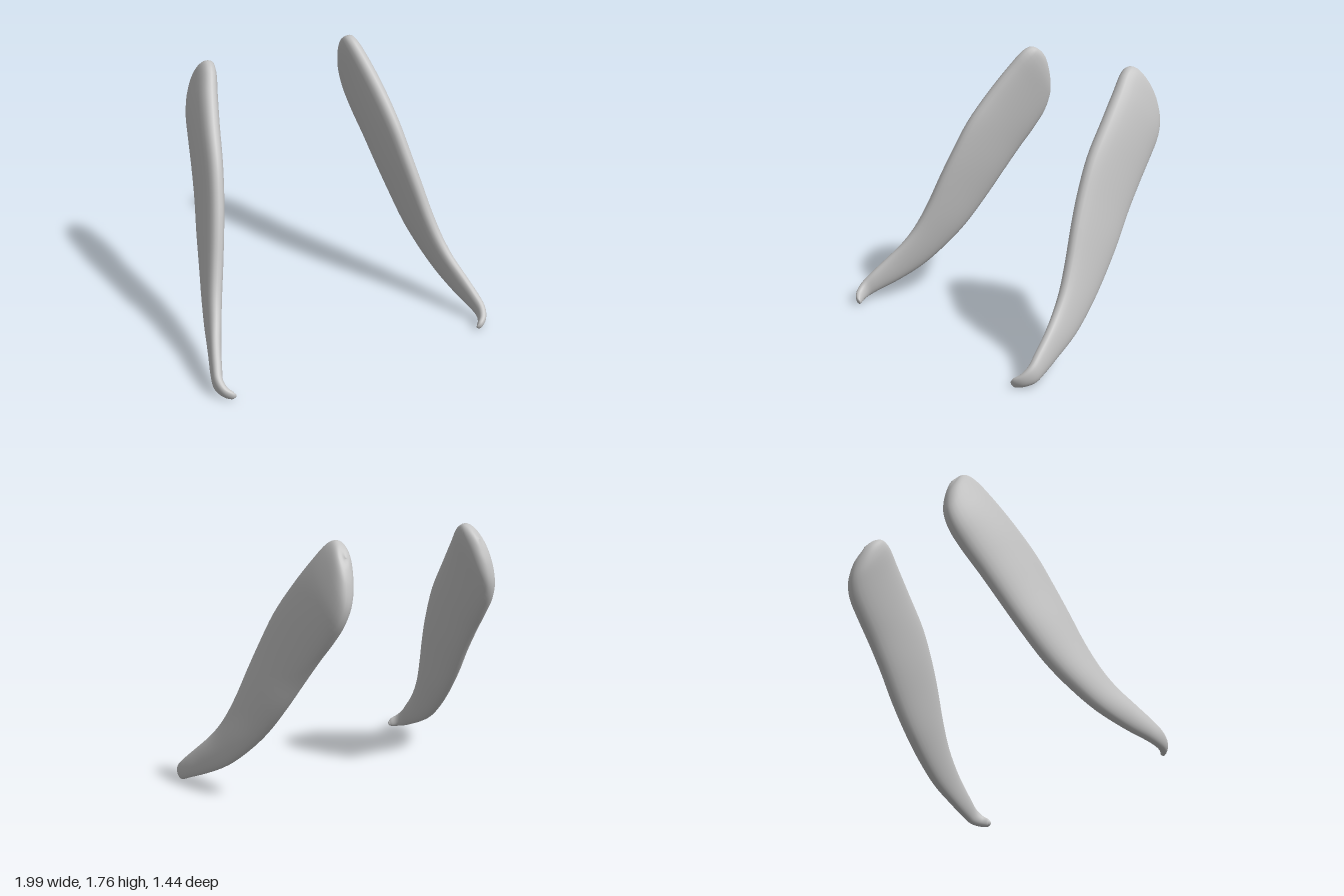
import * as THREE from 'three';

const grey = new THREE.MeshStandardMaterial({ color: 0xc4c4c4 });
grey.name = 'pale grey';

// Cross-sections from root to tip: front edge x,y,z, back edge x,y,z, half thickness
const SECTIONS = [
  [0.53, 1.67, -0.64, 0.53, 1.66, -0.642, 0.004],
  [0.512, 1.735, -0.575, 0.54, 1.60, -0.672, 0.04],
  [0.507, 1.755, -0.52, 0.557, 1.51, -0.705, 0.06],
  [0.518, 1.73, -0.46, 0.573, 1.39, -0.72, 0.073],
  [0.558, 1.62, -0.36, 0.59, 1.28, -0.69, 0.08],
  [0.607, 1.45, -0.22, 0.608, 1.16, -0.61, 0.08],
  [0.65, 1.25, -0.07, 0.637, 1.02, -0.50, 0.076],
  [0.692, 1.04, 0.04, 0.672, 0.85, -0.375, 0.073],
  [0.732, 0.86, 0.12, 0.715, 0.67, -0.25, 0.07],
  [0.78, 0.66, 0.20, 0.76, 0.48, -0.10, 0.065],
  [0.825, 0.50, 0.28, 0.81, 0.33, 0.05, 0.058],
  [0.865, 0.385, 0.365, 0.862, 0.20, 0.215, 0.05],
  [0.91, 0.29, 0.46, 0.912, 0.105, 0.40, 0.042],
  [0.945, 0.20, 0.56, 0.953, 0.05, 0.53, 0.037],
  [0.963, 0.135, 0.63, 0.965, 0.02, 0.60, 0.032],
  [0.945, 0.085, 0.685, 0.94, 0.005, 0.66, 0.026],
  [0.905, 0.055, 0.712, 0.905, 0.0, 0.695, 0.018],
  [0.884, 0.032, 0.71, 0.884, 0.012, 0.706, 0.005],
];

const curve = (pick) => new THREE.CatmullRomCurve3(SECTIONS.map((s) => new THREE.Vector3(...pick(s))));

// Lofts a closed lens-shaped skin; side = 1 for left, -1 for the mirrored right
function bladeGeometry(side) {
  const front = curve((s) => s.slice(0, 3));
  const back = curve((s) => s.slice(3, 6));
  const thick = curve((s) => [s[6], 0, SECTIONS.indexOf(s) * 0.1]);
  const rows = 68, around = 28, pos = [], index = [];
  const mid = (u) => front.getPoint(u).add(back.getPoint(u)).multiplyScalar(0.5);
  const put = (p) => pos.push(p.x * side, p.y, p.z);

  for (let i = 0; i <= rows; i++) {
    const u = i / rows;
    const c = mid(u);
    const half = front.getPoint(u).sub(c);
    const path = mid(Math.min(1, u + 0.02)).sub(mid(Math.max(0, u - 0.02)));
    const normal = half.clone().cross(path).normalize();
    const t = Math.max(thick.getPoint(u).x, 0.002);
    for (let j = 0; j < around; j++) {
      const a = (j / around) * Math.PI * 2;
      const s = Math.sin(a);
      put(c.clone().addScaledVector(half, Math.cos(a))
        .addScaledVector(normal, t * Math.sign(s) * Math.abs(s) ** 0.8));
    }
  }

  const tri = (a, b, c) => (side > 0 ? index.push(a, c, b) : index.push(a, b, c));
  for (let i = 0; i < rows; i++) {
    for (let j = 0; j < around; j++) {
      const k = (j + 1) % around;
      const a = i * around + j, b = i * around + k;
      tri(a, b, a + around);
      tri(b, b + around, a + around);
    }
  }

  // Close both ends with a fan
  const root = pos.length / 3;
  put(mid(0));
  put(mid(1));
  for (let j = 0; j < around; j++) {
    const k = (j + 1) % around;
    tri(root, k, j);
    tri(root + 1, rows * around + j, rows * around + k);
  }

  const g = new THREE.BufferGeometry();
  g.setAttribute('position', new THREE.Float32BufferAttribute(pos, 3));
  g.setIndex(index);
  g.computeVertexNormals();
  return g;
}

export function createModel() {
  const model = new THREE.Group();
  model.name = 'curvedBladePair';
  for (const [name, side] of [['leftBlade', 1], ['rightBlade', -1]]) {
    const blade = new THREE.Mesh(bladeGeometry(side), grey);
    blade.name = name;
    model.add(blade);
  }
  return model;
}
